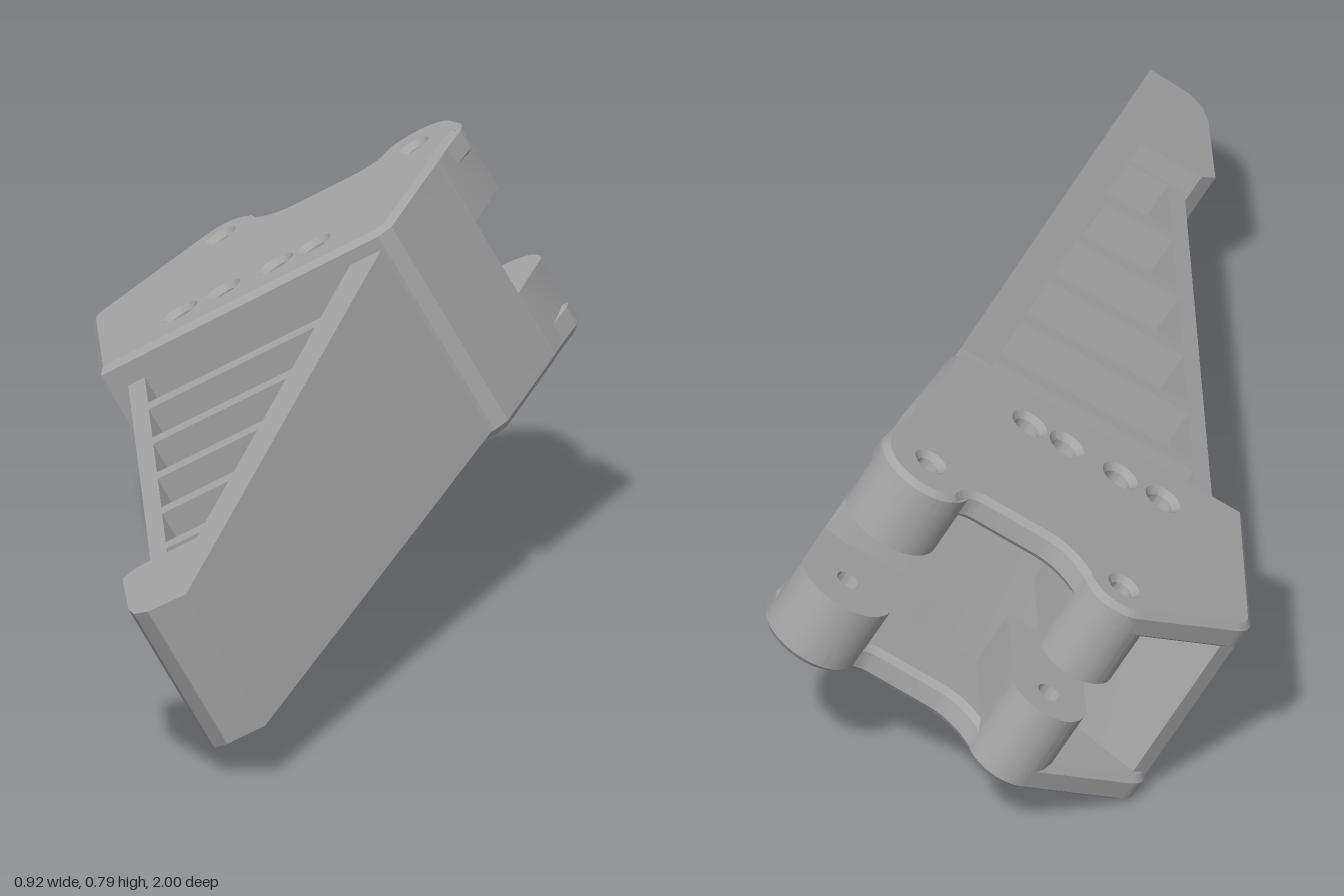
import * as THREE from 'three';
import { toCreasedNormals } from 'three/addons/utils/BufferGeometryUtils.js';

const MID = 0.345; // centre plane of the part, measured along its own thickness
const TILT = Math.PI / 6;

// Shape in plan from [u, z] points
function plan(points) {
  return new THREE.Shape(points.map(([u, z]) => new THREE.Vector2(u, -z)));
}

function drill(shape, u, z, r) {
  shape.holes.push(new THREE.Path().absarc(u, -z, r, 0, Math.PI * 2, true));
}

// Extrude a plan shape through the thickness, from lo to hi
function slab(shape, lo, hi, bevel = 0) {
  const g = new THREE.ExtrudeGeometry(shape, {
    depth: hi - lo - 2 * bevel, curveSegments: 14, bevelEnabled: bevel > 0,
    bevelThickness: bevel, bevelSize: bevel, bevelOffset: -bevel, bevelSegments: 1
  });
  g.rotateX(-Math.PI / 2);
  g.translate(0, lo + bevel, 0);
  return g;
}

// Symmetric slab whose half thickness depends on z
function taperedSlab(points, half) {
  const g = slab(plan(points), -1, 1);
  const p = g.attributes.position;
  for (let i = 0; i < p.count; i++) p.setY(i, MID + p.getY(i) * half(p.getZ(i)));
  return g;
}

// Plate outline with two hinge ears at the back
function plateOutline() {
  const s = new THREE.Shape();
  s.moveTo(-0.197, 0.49);
  s.lineTo(0.405, 0.37);
  s.lineTo(0.435, 0.385);
  s.lineTo(0.55, 0.645);
  s.quadraticCurveTo(0.565, 0.69, 0.603, 0.76);
  s.absarc(0.507, 0.79, 0.1, -0.3, 2.2, false);
  s.quadraticCurveTo(0.43, 0.832, 0.39, 0.834);
  s.lineTo(0.25, 0.862);
  s.quadraticCurveTo(0.2, 0.875, 0.169, 0.936);
  s.absarc(0.091, 0.92, 0.08, 0.2, 2.1, false);
  s.lineTo(-0.165, 0.885);
  s.quadraticCurveTo(-0.197, 0.868, -0.197, 0.84);
  s.closePath();
  return s;
}

// Hinge ear with a rounded end, reaching back to the core
function earShape(u, z, r, lean, reach) {
  const s = new THREE.Shape();
  s.absarc(u, -z, r, 0, Math.PI, false);
  s.lineTo(u - r - lean, -z - reach);
  s.lineTo(u + r - lean, -z - reach);
  s.closePath();
  drill(s, u, z, 0.024);
  return s;
}

export function createModel() {
  const grey = new THREE.MeshStandardMaterial({ color: 0xa3a3a3 });
  grey.name = 'grey plastic';
  const part = new THREE.Group();
  part.name = 'fingerSegment';
  part.rotation.z = TILT;

  const add = (name, geometry) => {
    const mesh = new THREE.Mesh(toCreasedNormals(geometry, 0.5), grey);
    mesh.name = name;
    part.add(mesh);
  };

  const ears = [[0.091, -0.92], [0.507, -0.79]];
  const screws = [[-0.013, -0.57], [0.08, -0.555], [0.195, -0.53], [0.276, -0.515]];

  // Base plates
  const upper = plateOutline();
  const lower = plateOutline();
  for (const [u, z] of ears) {
    drill(upper, u, z, 0.022);
    drill(lower, u, z, 0.022);
  }
  screws.forEach(([u, z], i) => {
    drill(upper, u, z, 0.026);
    if (i === 1 || i === 2) drill(lower, u, z, 0.026);
  });
  add('upperPlate', slab(upper, 0.515, 0.578, 0.012));
  add('lowerPlate', slab(lower, 0.112, 0.175, 0.012));

  // Core between the plates
  const core = plan([[-0.197, -0.49], [0.405, -0.37], [0.435, -0.385], [0.55, -0.645],
    [0.5, -0.67], [0.3, -0.69], [0.05, -0.74], [-0.165, -0.86], [-0.197, -0.84]]);
  screws.slice(1, 3).forEach(([u, z]) => drill(core, u, z, 0.026));
  add('baseCore', slab(core, 0.16, 0.53));

  // Hinge ears, mirrored about the centre plane
  const earSpecs = [
    { name: 'rearEar', shape: earShape(0.091, -0.92, 0.08, 0, 0.2), gap: 0.05 },
    { name: 'sideEar', shape: earShape(0.507, -0.79, 0.1, 0.058, 0.15), gap: 0.081 }
  ];
  for (const { name, shape, gap } of earSpecs) {
    add(name + 'Upper', slab(shape, MID + gap, 0.565));
    add(name + 'Lower', slab(shape, 0.125, MID - gap));
  }

  // Tapered pad wall with the hooked tip
  const padHalf = z => 0.15 + (1 - z) * 0.044;
  add('padWall', taperedSlab([[0.402, -0.32], [-0.118, 1], [-0.2, 0.975], [-0.228, 0.945],
    [-0.237, 0.9], [-0.237, 0.71], [-0.205, 0.69], [-0.075, 0.715], [0.335, -0.335]], padHalf));

  // Neck joining the pad wall to the base
  add('neck', taperedSlab([[0.32, -0.3], [0.38, -0.3], [0.4, -0.42], [0.32, -0.42]], () => 0.19));

  // Rear rail and slanted ribs
  const railHalf = z => 0.178 - (z + 0.45) * 0.053;
  const railU = z => -0.162 - (z + 0.45) * 0.028;
  add('rearRail', taperedSlab([[railU(-0.52), -0.52], [railU(-0.52) + 0.036, -0.52],
    [railU(0.72) + 0.036, 0.72], [railU(0.72), 0.72]], railHalf));

  const wallU = z => 0.35 - (z + 0.32) * 0.392;
  for (let i = 0; i < 5; i++) {
    const z = -0.33 + i * 0.205;
    const u0 = railU(z) + 0.02;
    const u1 = wallU(z + 0.1);
    const rise = (u1 - u0) * 0.19;
    add('rib' + (i + 1), taperedSlab([[u0, z], [u0, z + 0.038],
      [u1, z + rise + 0.038], [u1, z + rise]], railHalf));
  }

  // Web closing the rail against the tip
  add('tipWeb', taperedSlab([[-0.18, 0.685], [-0.18, 0.73], [-0.05, 0.75], [-0.05, 0.71]], railHalf));

  const model = new THREE.Group();
  model.name = 'model';
  model.add(part);
  return model;
}
